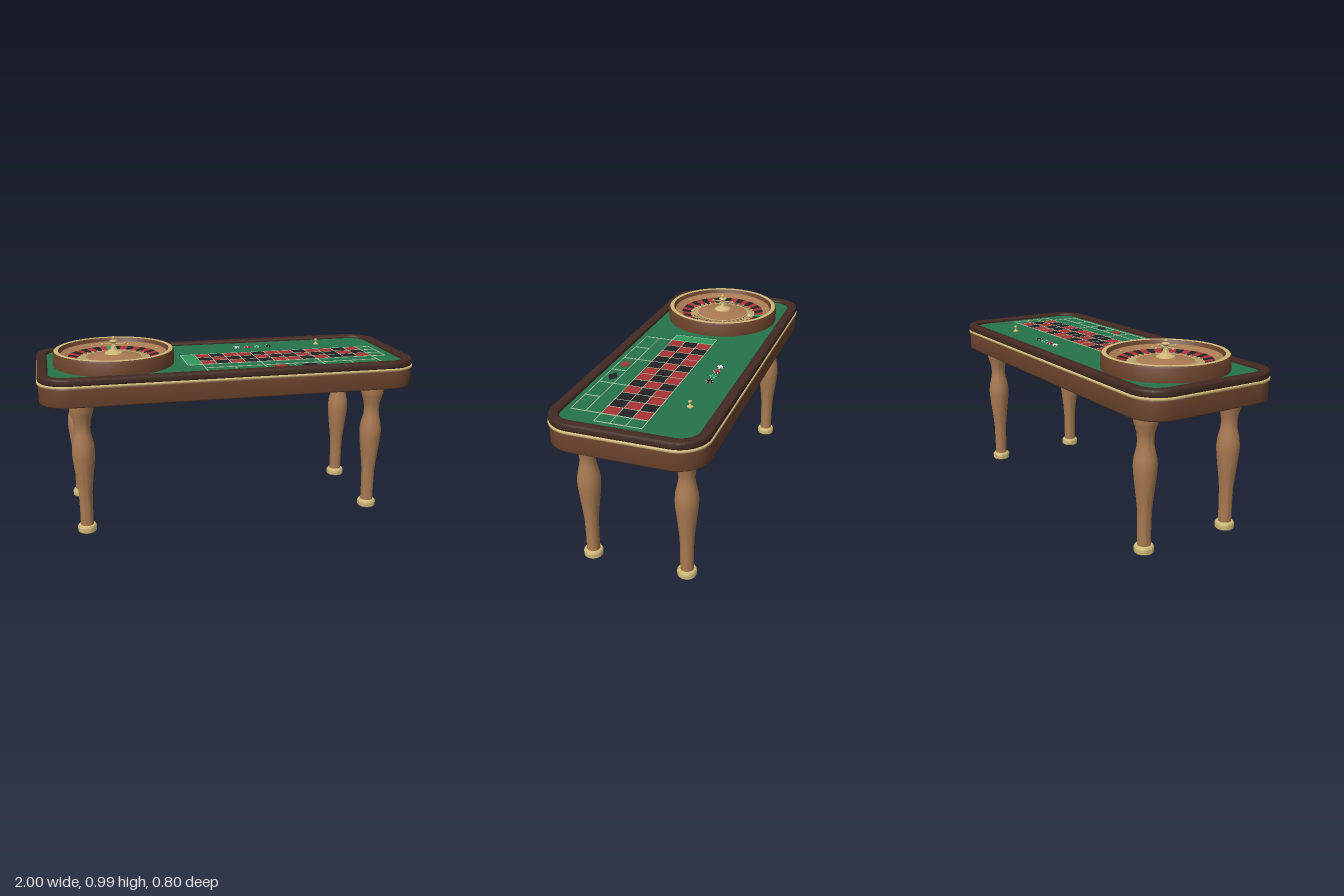
import * as THREE from 'three';
import { toCreasedNormals } from 'three/addons/utils/BufferGeometryUtils.js';

const mat = (color, side = THREE.FrontSide) => new THREE.MeshStandardMaterial({ color, side });
const M = {
  body: mat(0x6b432c), rim: mat(0x432a22), wood: mat(0xa97a52), brass: mat(0xcdb677),
  felt: mat(0x25734a), zero: mat(0x2f9a60), red: mat(0xa83236), black: mat(0x222224),
  line: mat(0xa9c4a0), white: mat(0xe4e6f0),
};
const FELT = 0.845;

function add(parent, name, geo, material, x = 0, y = 0, z = 0) {
  const mesh = new THREE.Mesh(geo, material);
  mesh.name = name;
  mesh.position.set(x, y, z);
  parent.add(mesh);
  return mesh;
}

function lathe(points, seg = 32, crease = 0.6, start = 0, length = Math.PI * 2) {
  const pts = points.map(([r, y]) => new THREE.Vector2(r, y));
  return toCreasedNormals(new THREE.LatheGeometry(pts, seg, start, length), crease);
}

// Rounded rectangle with half sizes a, b and corner radius r
function roundRect(a, b, r, Type = THREE.Shape) {
  const s = new Type();
  s.moveTo(a, -b + r);
  s.absarc(a - r, b - r, r, 0, Math.PI / 2);
  s.absarc(-a + r, b - r, r, Math.PI / 2, Math.PI);
  s.absarc(-a + r, -b + r, r, Math.PI, Math.PI * 1.5);
  s.absarc(a - r, -b + r, r, Math.PI * 1.5, Math.PI * 2);
  return s;
}

// Horizontal slab from y0 to y1, bevelled inside its outline
function slab(a, b, r, y0, y1, bevel, hole) {
  const shape = roundRect(a - bevel, b - bevel, r - bevel);
  if (hole) shape.holes.push(roundRect(hole[0] + bevel, hole[1] + bevel, hole[2] + bevel, THREE.Path));
  const geo = new THREE.ExtrudeGeometry(shape, {
    depth: y1 - y0 - 2 * bevel, bevelEnabled: bevel > 0, bevelSize: bevel,
    bevelThickness: bevel, bevelSegments: 3, curveSegments: 14,
  });
  geo.rotateX(-Math.PI / 2);
  geo.translate(0, y0 + bevel, 0);
  return toCreasedNormals(geo, 0.6);
}

function buildTable(root) {
  add(root, 'tableBody', slab(0.993, 0.392, 0.15, 0.715, 0.815, 0.008), M.body);
  add(root, 'brassTrim', slab(1, 0.398, 0.155, 0.813, 0.826, 0.004), M.brass);
  add(root, 'feltTop', slab(0.95, 0.35, 0.1, 0.82, FELT, 0), M.felt);
  add(root, 'armRail', slab(0.996, 0.395, 0.152, 0.824, 0.862, 0.01, [0.941, 0.342, 0.09]), M.rim);

  // Turned legs with brass feet
  const leg = lathe([[0.034, 0.03], [0.034, 0.12], [0.036, 0.22], [0.042, 0.28], [0.053, 0.37], [0.058, 0.42],
    [0.059, 0.45], [0.055, 0.49], [0.043, 0.54], [0.04, 0.57], [0.044, 0.61], [0.056, 0.65], [0.061, 0.67], [0.062, 0.725]]);
  const foot = lathe([[0, 0], [0.044, 0], [0.049, 0.006], [0.05, 0.03], [0.045, 0.038], [0.034, 0.041]]);
  for (const x of [-0.787, 0.787]) for (const z of [-0.255, 0.255]) {
    add(root, 'leg', leg, M.wood, x, 0, z);
    add(root, 'foot', foot, M.brass, x, 0, z);
  }
}

function buildLayout(root) {
  const g = new THREE.Group();
  g.name = 'bettingLayout';
  root.add(g);
  const X0 = -0.139, W = 0.0793, Z0 = -0.08, D = 0.0785, t = 0.004;
  const reds = new Set([1, 3, 5, 7, 9, 12, 14, 16, 18, 19, 21, 23, 25, 27, 30, 32, 34, 36]);
  const patch = (name, x0, z0, w, d, m) =>
    add(g, name, new THREE.BoxGeometry(w, 0.002, d), m, x0 + w / 2, FELT + 0.001, z0 + d / 2);
  const bar = (x0, z0, x1, z1) =>
    add(g, 'layoutLine', new THREE.BoxGeometry(x1 - x0 + t, 0.003, z1 - z0 + t), M.line,
      (x0 + x1) / 2, FELT + 0.0015, (z0 + z1) / 2);

  // Coloured cells
  for (let c = 0; c < 12; c++) for (let r = 0; r < 3; r++)
    patch('cell', X0 + c * W, Z0 + r * D, W, D, reds.has(c * 3 + 3 - r) ? M.red : M.black);
  patch('zeroCell', X0 - W, Z0, W, 3 * D, M.zero);

  // Grid lines, then the outside bets
  const X1 = X0 + 12 * W, Z3 = Z0 + 3 * D, Z5 = Z0 + 5 * D;
  for (let r = 0; r <= 3; r++) bar(r % 3 ? X0 : X0 - W, Z0 + r * D, X1 + W, Z0 + r * D);
  for (let c = 0; c <= 12; c++) bar(X0 + c * W, Z0, X0 + c * W, Z3);
  for (const x of [X0 - W, X1 + W]) bar(x, Z0, x, Z3);
  for (const z of [Z3 + D, Z5]) bar(X0, z, X1, z);
  for (let i = 0; i <= 3; i++) bar(X0 + i * 4 * W, Z3, X0 + i * 4 * W, Z3 + D);
  for (let i = 0; i <= 6; i++) bar(X0 + i * 2 * W, Z3 + D, X0 + i * 2 * W, Z5);

  // Diamonds
  [M.red, M.black].forEach((m, i) => {
    const d = add(g, 'diamond', new THREE.CylinderGeometry(1, 1, 0.003, 4), m,
      X0 + (5 + 2 * i) * W, FELT + 0.0015, Z5 - D / 2);
    d.scale.set(0.045, 1, 0.026);
  });
}

function buildWheel(root) {
  const g = new THREE.Group();
  g.name = 'wheel';
  g.position.set(-0.59, 0, 0);
  root.add(g);

  add(g, 'bowlWall', lathe([[0.32, 0.84], [0.32, 0.912], [0.314, 0.922]], 64), M.body);
  add(g, 'bowlRim', lathe([[0.315, 0.92], [0.31, 0.924], [0.298, 0.925], [0.291, 0.922]], 64), M.brass);
  add(g, 'bowlInnerWall', lathe([[0.291, 0.922], [0.281, 0.902]], 64), M.body);
  add(g, 'ballTrack', lathe([[0.281, 0.902], [0.262, 0.892], [0.242, 0.884]], 64), M.wood);
  add(g, 'wheelCone', lathe([[0.15, 0.868], [0.15, 0.878], [0.1, 0.886], [0.04, 0.898], [0, 0.9]], 64), M.wood);
  add(g, 'coneRing', new THREE.TorusGeometry(0.149, 0.003, 6, 64).rotateX(Math.PI / 2), M.brass, 0, 0.878);

  // Number ring, pockets and dividers
  const N = 37, step = Math.PI * 2 / N;
  for (let i = 0; i < N; i++) {
    const a = Math.PI + i * step;
    const m = i === 0 ? M.zero : i % 2 ? M.red : M.black;
    add(g, 'pocket', lathe([[0.242, 0.884], [0.195, 0.876], [0.19, 0.868], [0.15, 0.868]], 2, 0.4, a - step / 2, step), m);
    const b = a + step / 2;
    const f = add(g, 'pocketDivider', new THREE.BoxGeometry(0.004, 0.01, 0.043), M.brass,
      Math.sin(b) * 0.171, 0.872, Math.cos(b) * 0.171);
    f.rotation.y = b;
  }
  add(g, 'ball', new THREE.SphereGeometry(0.008, 16, 12), M.white, 0, 0.876, -0.168);

  // Ball deflectors on the track
  for (let i = 0; i < 8; i++) {
    const a = (i + 0.5) * Math.PI / 4;
    const d = add(g, 'deflector', new THREE.OctahedronGeometry(1), M.brass,
      Math.sin(a) * 0.262, 0.893, Math.cos(a) * 0.262);
    d.scale.set(0.004, 0.004, 0.011);
    d.rotation.y = a + (i % 2) * Math.PI / 2;
  }

  // Turret with four knobbed arms
  add(g, 'turret', lathe([[0.05, 0.893], [0.046, 0.902], [0.03, 0.908], [0.018, 0.918], [0.015, 0.93], [0.01, 0.942],
    [0.01, 0.95], [0.018, 0.956], [0.022, 0.961], [0.018, 0.966], [0.008, 0.969], [0.006, 0.974]]), M.brass);
  add(g, 'turretKnob', new THREE.SphereGeometry(0.01, 20, 14), M.brass, 0, 0.978);
  for (let i = 0; i < 4; i++) {
    const arm = new THREE.Group();
    arm.name = 'turretArm';
    arm.rotation.y = i * Math.PI / 2;
    g.add(arm);
    add(arm, 'rod', new THREE.CylinderGeometry(0.003, 0.003, 0.058, 10).rotateZ(Math.PI / 2), M.brass, 0.029, 0.946);
    add(arm, 'armKnob', new THREE.SphereGeometry(0.0065, 14, 10), M.brass, 0.059, 0.946);
  }
}

function buildChips(root) {
  // Chips with contrasting edge marks
  [M.white, M.red, M.zero, M.black].forEach((m, i) => {
    const chip = new THREE.Group();
    chip.name = 'chip';
    chip.position.set(0.135 + i * 0.0617, FELT, -0.211);
    root.add(chip);
    add(chip, 'chipDisc', new THREE.CylinderGeometry(0.018, 0.018, 0.007, 28), m, 0, 0.0035);
    for (let k = 0; k < 6; k++) {
      const a = k * Math.PI / 3;
      const mark = add(chip, 'chipMark', new THREE.BoxGeometry(0.005, 0.0076, 0.005), i ? M.white : M.black,
        Math.sin(a) * 0.016, 0.0036, Math.cos(a) * 0.016);
      mark.rotation.y = a;
    }
  });
  // Winning marker
  add(root, 'marker', lathe([[0.015, 0], [0.015, 0.004], [0.007, 0.009], [0.0045, 0.017], [0.008, 0.024],
    [0.0095, 0.029], [0.007, 0.034], [0, 0.036]], 24, 0.8), M.brass, 0.615, FELT, -0.211);
}

export function createModel() {
  const root = new THREE.Group();
  root.name = 'gamingTable';
  buildTable(root);
  buildLayout(root);
  buildWheel(root);
  buildChips(root);
  return root;
}
